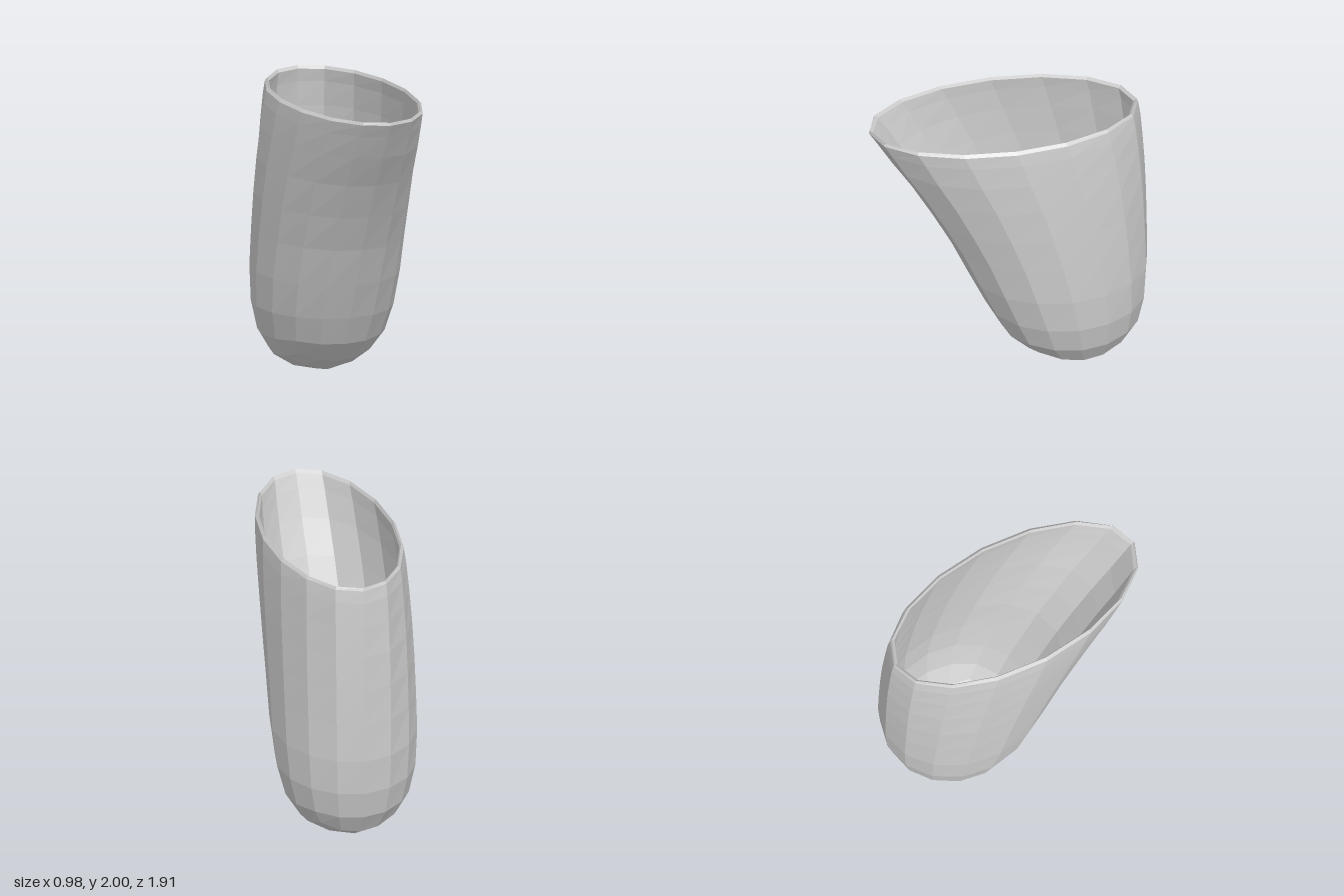
import * as THREE from 'three';

const SIDES = 16;
// Cross-sections of the cup: height, half width, front z, back z
const SECTIONS = [
  [0, 0, -0.46, -0.46], [0.04, 0.18, -0.27, -0.645], [0.13, 0.325, -0.1, -0.8],
  [0.28, 0.42, 0.05, -0.89], [0.48, 0.47, 0.155, -0.935], [0.73, 0.49, 0.27, -0.953],
  [1, 0.492, 0.39, -0.95], [1.25, 0.492, 0.52, -0.945], [1.5, 0.488, 0.66, -0.935],
  [1.72, 0.48, 0.8, -0.92], [1.89, 0.47, 0.9, -0.905], [1.98, 0.46, 0.955, -0.89],
  [2, 0.44, 0.95, -0.88],
];
const WALL_HEIGHTS = SECTIONS.slice(3).map((s) => s[0]);

function sectionAt(y) {
  let i = 1;
  while (i < SECTIONS.length - 1 && SECTIONS[i][0] < y) i++;
  const [a, b] = [SECTIONS[i - 1], SECTIONS[i]];
  const t = (y - a[0]) / (b[0] - a[0]);
  return a.map((v, k) => v + (b[k] - v) * t);
}

// Point on the outer skin, or on the inner skin set in by the wall thickness
function skinPoint(y, angle, inner) {
  const [, w, front, back] = sectionAt(y);
  const shrink = (r) => (inner ? r - Math.min(0.03, 0.07 * r) : r);
  return new THREE.Vector3(
    shrink(w) * Math.sin(angle),
    inner ? y + 0.03 * (1 - y / 1.98) : y,
    (front + back) / 2 + shrink((front - back) / 2) * Math.cos(angle),
  );
}

// Point of the 4 x 4 grid that closes the bottom; its corners rise higher
function capPoint(i, j, inner) {
  const k = Math.max(Math.abs(i), Math.abs(j));
  const f = k ? Math.min(Math.abs(i), Math.abs(j)) / k : 0;
  const y = [0, 0.04 + 0.04 * f, 0.13 + 0.06 * f * f][k];
  let angle = 0;
  if (k && Math.abs(i) >= Math.abs(j)) angle = (Math.PI / 4) * (j / i) + (i < 0 ? Math.PI : 0);
  else if (k) angle = Math.PI / 2 - (Math.PI / 4) * (i / j) + (j < 0 ? Math.PI : 0);
  return skinPoint(y, angle, inner);
}

// Ring of points; lift raises the four diagonal points
function ring(y, inner, lift = 0) {
  return Array.from({ length: SIDES }, (_, s) => {
    const f = 1 - Math.abs((s % 4) - 2) / 2;
    return skinPoint(y + lift * f * f, (s / SIDES) * Math.PI * 2, inner);
  });
}

function addBand(quads, low, high) {
  for (let s = 0; s < SIDES; s++) {
    const n = (s + 1) % SIDES;
    quads.push([low[s], low[n], high[n], high[s]]);
  }
}

function meshFromQuads(name, quads, flip = false) {
  const pos = [];
  for (const q of quads) {
    const [a, b, c, d] = flip ? [...q].reverse() : q;
    for (const p of [a, b, c, a, c, d]) pos.push(p.x, p.y, p.z);
  }
  const geometry = new THREE.BufferGeometry();
  geometry.setAttribute('position', new THREE.Float32BufferAttribute(pos, 3));
  geometry.computeVertexNormals();
  const mesh = new THREE.Mesh(
    geometry,
    new THREE.MeshStandardMaterial({ color: 0xcccccc, flatShading: true }),
  );
  mesh.name = name;
  return mesh;
}

// Rounded bottom and side wall of one skin
function buildSkin(name, inner) {
  const quads = [];
  for (let i = -2; i < 2; i++) {
    for (let j = -2; j < 2; j++) {
      quads.push([
        capPoint(i, j, inner), capPoint(i, j + 1, inner),
        capPoint(i + 1, j + 1, inner), capPoint(i + 1, j, inner),
      ]);
    }
  }
  let low = ring(0.13, inner, 0.06);
  for (const y of WALL_HEIGHTS) {
    if (inner && y > 1.98) break;
    const high = ring(y, inner, y === 0.28 ? 0.015 : 0);
    addBand(quads, low, high);
    low = high;
  }
  return meshFromQuads(name, quads, inner);
}

export function createModel() {
  const group = new THREE.Group();
  group.name = 'slantedCup';
  group.add(buildSkin('outerShell', false), buildSkin('innerShell', true));

  // Narrow sloping lip between the two skins
  const lip = [];
  addBand(lip, ring(2, false), ring(1.98, true));
  group.add(meshFromQuads('rim', lip));
  return group;
}
